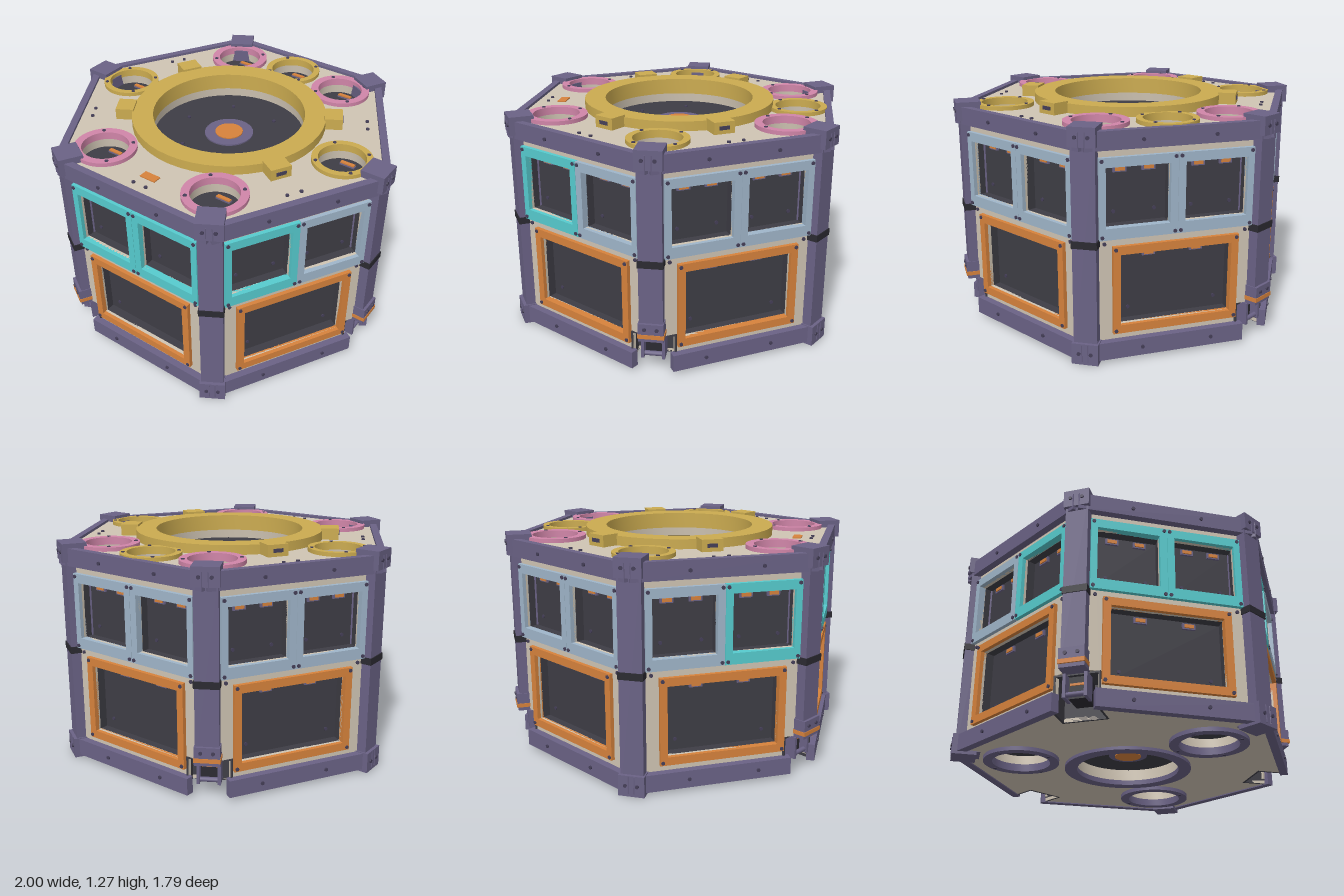
import * as THREE from 'three';
import { toCreasedNormals } from 'three/addons/utils/BufferGeometryUtils.js';

const mat = (name, color, side = THREE.FrontSide) => {
  const m = new THREE.MeshStandardMaterial({ color, side });
  m.name = name;
  return m;
};

export function createModel() {
  const M = {
    purple: mat('purple frame', 0x6a6285), beige: mat('beige hull', 0xcfc4b3, THREE.DoubleSide),
    gold: mat('gold', 0xcbab50), pink: mat('pink', 0xd085a8), cyan: mat('cyan', 0x56cbce),
    blue: mat('pale blue', 0x9fb5c9), orange: mat('orange', 0xd6823c),
    dark: mat('dark panel', 0x3e3d45, THREE.DoubleSide), black: mat('black', 0x2b2a31), bolt: mat('bolt', 0x453f58),
  };
  const root = new THREE.Group();
  root.name = 'hexagonalModule';
  const STEP = Math.PI / 3, T30 = Math.tan(Math.PI / 6);

  const add = (parent, name, geo, material, x = 0, y = 0, z = 0) => {
    const m = new THREE.Mesh(geo, material);
    m.name = name;
    m.position.set(x, y, z);
    parent.add(m);
    return m;
  };
  const group = (parent, name, angle = 0) => {
    const g = new THREE.Group();
    g.name = name;
    g.rotation.y = angle;
    parent.add(g);
    return g;
  };
  // box given by its min and max on each axis
  const box = (p, name, m, x0, x1, y0, y1, z0, z1) =>
    add(p, name, new THREE.BoxGeometry(x1 - x0, y1 - y0, z1 - z0), m, (x0 + x1) / 2, (y0 + y1) / 2, (z0 + z1) / 2);
  const boltGeo = new THREE.CylinderGeometry(0.01, 0.01, 0.012, 8);
  const bolt = (p, x, y, z, up = false) => {
    const b = add(p, 'bolt', boltGeo, M.bolt, x, y, z);
    if (!up) b.rotation.x = Math.PI / 2;
  };
  const poly = pts => new THREE.Shape(pts.map(p => new THREE.Vector2(...p)));
  const rect = (x0, x1, y0, y1) => [[x0, y0], [x1, y0], [x1, y1], [x0, y1]];
  const extrude = (shape, depth) => new THREE.ExtrudeGeometry(shape, { depth, bevelEnabled: false, curveSegments: 32 });
  const isCut = k => (k + 6) % 2 === 1;   // every second corner has a leg bay

  // Recessed window with a raised frame and handles
  const windowUnit = (p, name, m, o, i, handles) => {
    const g = group(p, name);
    const s = poly(rect(...o));
    s.holes.push(poly(rect(...i)));
    add(g, 'frame', extrude(s, 0.04), m, 0, 0, 0.812);
    const [x0, x1, y0, y1] = i, zb = 0.765, zf = 0.815;
    box(g, 'pane', M.dark, x0, x1, y0, y1, zb - 0.01, zb);
    box(g, 'pocketLeft', M.dark, x0 - 0.01, x0, y0, y1, zb, zf);
    box(g, 'pocketRight', M.dark, x1, x1 + 0.01, y0, y1, zb, zf);
    box(g, 'pocketBottom', M.dark, x0, x1, y0 - 0.01, y0, zb, zf);
    box(g, 'pocketTop', M.dark, x0, x1, y1, y1 + 0.01, zb, zf);
    for (const hx of handles) {
      box(g, 'handleMount', M.purple, hx - 0.035, hx + 0.035, y1 - 0.045, y1 - 0.012, zb, zb + 0.012);
      box(g, 'handle', M.orange, hx - 0.025, hx + 0.025, y1 - 0.038, y1 - 0.019, zb, zb + 0.018);
    }
    for (const x of [x0 + 0.06, x1 - 0.06]) bolt(g, x, y0 + 0.06, zb);
    for (const x of [o[0] + 0.014, o[1] - 0.014])
      for (const y of [o[2] + 0.016, o[3] - 0.016]) bolt(g, x, y, 0.852);
  };

  // Six walls: panel, rails and windows
  for (let k = 0; k < 6; k++) {
    const g = group(root, 'wall', k * STEP);
    const w = 0.83 * T30, c = w - 0.127;
    const cl = isCut(k - 1), cr = isCut(k);
    const pts = [[cl ? -c : -w, 0.05], [cr ? c : w, 0.05]];
    if (cr) pts.push([c, 0.215], [w, 0.215]);
    pts.push([w, 1.18], [-w, 1.18]);
    if (cl) pts.push([-w, 0.215], [-c, 0.215]);
    const s = poly(pts), big = [-0.3, 0.3, 0.19, 0.575];
    const wins = [[-0.375, -0.04, 0.72, 1.03], [0.04, 0.375, 0.72, 1.03]];
    for (const h of [big, ...wins]) s.holes.push(poly(rect(...h)));
    add(g, 'wallPanel', extrude(s, 0.02), M.beige, 0, 0, 0.81);

    windowUnit(g, 'lowerWindow', M.orange, [-0.34, 0.34, 0.145, 0.62], big, [-0.13, 0.13]);
    wins.forEach((r, i) => {
      const front = k === 0 || (k === 1 && i === 0) || (k === 5 && i === 1);
      const mid = i ? 0.208 : -0.208;
      windowUnit(g, 'upperWindow', front ? M.cyan : M.blue, i ? [0.001, 0.41, 0.66, 1.08] : [-0.41, -0.001, 0.66, 1.08],
        r, [mid - 0.075, mid + 0.075]);
    });

    box(g, 'topRail', M.purple, -0.485, 0.485, 1.12, 1.215, 0.83, 0.87);
    box(g, 'bottomRail', M.purple, cl ? -0.375 : -0.485, cr ? 0.375 : 0.485, 0.015, 0.11, 0.825, 0.87);
    for (const x of [-0.19, 0.19]) {
      bolt(g, x, 1.165, 0.872);
      bolt(g, x, 0.063, 0.872);
      bolt(g, x * 2, 0.635, 0.832);
    }
    if (k !== 3) for (const x of [-0.04, 0.04]) bolt(g, x, 1.202, 0.77, true);
  }

  // Corner posts, with leg bays on every second one
  for (let k = 0; k < 6; k++) {
    const g = group(root, 'cornerPost', STEP * (k + 0.5)), cut = isCut(k);
    box(g, 'post', M.purple, -0.062, 0.062, cut ? 0.215 : 0.02, 1.2, 0.84, 0.975);
    box(g, 'postCap', M.purple, -0.07, 0.07, 1.14, 1.24, 0.86, 0.993);
    box(g, 'postBand', M.black, -0.067, 0.067, 0.625, 0.663, 0.85, 0.98);
    for (const x of [-0.032, 0.032]) bolt(g, x, 1.19, 0.994);
    if (!cut) {
      box(g, 'postFoot', M.purple, -0.07, 0.07, 0, 0.115, 0.86, 0.993);
      for (const x of [-0.032, 0.032]) bolt(g, x, 0.06, 0.994);
      continue;
    }
    box(g, 'bracketPlate', M.purple, -0.067, 0.067, 0.255, 0.315, 0.86, 0.99);
    box(g, 'bracketStripe', M.orange, -0.07, 0.07, 0.232, 0.255, 0.86, 0.993);
    box(g, 'bracketBase', M.purple, -0.067, 0.067, 0.212, 0.232, 0.86, 0.985);
    for (const x of [-0.032, 0.032]) bolt(g, x, 0.285, 0.991);
    box(g, 'bayBack', M.dark, -0.12, 0.12, 0.02, 0.215, 0.75, 0.76);
    box(g, 'bayTop', M.dark, -0.12, 0.12, 0.205, 0.215, 0.75, 0.9);
    for (const s of [-1, 1]) {
      const wall = box(g, 'bayWall', M.dark, -0.005, 0.005, 0.02, 0.215, 0.76, 0.9);
      wall.position.x = s * 0.115;
      const cheek = box(g, 'legCheek', M.purple, -0.008, 0.008, 0.08, 0.205, 0.85, 0.93);
      cheek.position.x = s * 0.055;
    }
    box(g, 'legBlock', M.black, -0.047, 0.047, 0.09, 0.205, 0.76, 0.88);
    box(g, 'legStripe', M.orange, -0.04, 0.04, 0.158, 0.17, 0.88, 0.885);
    const bar = add(g, 'legBar', new THREE.CylinderGeometry(0.013, 0.013, 0.11, 12), M.purple, 0, 0.1, 0.91);
    bar.rotation.z = Math.PI / 2;
  }

  // Round hatch along local +y: raised ring, recessed well and disc
  const lathe = (pts, n) => toCreasedNormals(new THREE.LatheGeometry(pts.map(p => new THREE.Vector2(...p)), n), 0.6);
  const hatch = (p, name, m, ro, ri, h, lip, depth) => {
    const g = group(p, name);
    add(g, 'ring', lathe([[ro, -0.005], [ro, h], [ri, h], [ri, -lip]], 48), m);
    add(g, 'well', lathe([[ri, -lip], [ri + 0.004, -depth]], 48), M.beige);
    add(g, 'disc', new THREE.CylinderGeometry(ri + 0.003, ri + 0.003, 0.01, 48), M.dark, 0, -depth, 0);
    return g;
  };
  const disc = (p, name, r, m, y) => add(p, name, new THREE.CylinderGeometry(r, r, 0.012, 40), m, 0, y, 0);
  const smallHatch = (p, name, m, ro, ri) => {
    const g = hatch(p, name, m, ro, ri, 0.022, 0.02, 0.075);
    box(g, 'handleMount', M.purple, -0.043, 0.043, -0.07, -0.062, -0.086, -0.06);
    box(g, 'handle', M.orange, -0.04, 0.04, -0.062, -0.054, -0.083, -0.063);
    for (const x of [-0.065, 0.065]) bolt(g, x, -0.068, 0.06, true);
    for (let i = 0; i < 4; i++) {
      const a = Math.PI * (i + 0.5) / 2, r = (ro + ri) / 2;
      bolt(g, r * Math.cos(a), 0.02, r * Math.sin(a), true);
    }
    return g;
  };

  // Plate lying flat, given as a shape in x and -z
  const plate = (name, shape, y) => {
    add(root, name, extrude(shape, 0.02), M.beige, 0, y, 0).rotation.x = -Math.PI / 2;
  };
  const hole = (shape, x, z, r) => {
    const c = new THREE.Path();
    c.absarc(x, -z, r, 0, Math.PI * 2, true);
    shape.holes.push(c);
  };
  const polar = (r, a, side = 0) => [r * Math.sin(a) + side * Math.cos(a), r * Math.cos(a) - side * Math.sin(a)];
  const R = 0.835 / Math.cos(Math.PI / 6);

  // Top deck and its hatches
  const deck = poly([0, 1, 2, 3, 4, 5].map(k => polar(R, STEP * (k + 0.5))).map(([x, z]) => [x, -z]));
  const tops = [[0.72, 0, 'gold'], [-0.72, 0, 'gold'], [0, -0.68, 'gold']];
  for (const x of [-0.36, 0.36]) for (const z of [-0.625, 0.625]) tops.push([x, z, 'pink']);
  hole(deck, 0, 0, 0.43);
  for (const [x, z, c] of tops) {
    hole(deck, x, z, 0.13);
    smallHatch(root, c + 'Hatch', M[c], c === 'pink' ? 0.17 : 0.162, 0.127).position.set(x, 1.2, z);
  }
  plate('topDeck', deck, 1.18);
  box(root, 'deckMarker', M.orange, -0.047, 0.047, 1.198, 1.206, 0.665, 0.713);

  // Large central hatch with four clamps
  const main = hatch(root, 'mainHatch', M.gold, 0.54, 0.423, 0.052, 0.04, 0.095);
  main.position.y = 1.2;
  disc(main, 'hubPlate', 0.137, M.purple, -0.088);
  disc(main, 'hub', 0.078, M.orange, -0.082);
  for (let i = 0; i < 6; i++) bolt(main, 0.285 * Math.cos(i * STEP), -0.088, 0.285 * Math.sin(i * STEP), true);
  for (const a of [1, 2, 4, 5]) {
    const g = group(main, 'clamp', a * STEP);
    box(g, 'clampBlock', M.gold, -0.058, 0.058, 0, 0.064, 0.53, 0.63);
    box(g, 'clampSlot', M.bolt, -0.028, 0.028, 0.022, 0.042, 0.628, 0.634);
  }

  // Floor with leg-bay cut-outs and lower hatches
  const floorPts = [];
  for (let k = 0; k < 6; k++) {
    const a = STEP * (k + 0.5), e = R - 0.11 * T30;
    if (isCut(k)) floorPts.push(polar(e, a, -0.11), polar(0.76, a, -0.11), polar(0.76, a, 0.11), polar(e, a, 0.11));
    else floorPts.push(polar(R, a));
  }
  const floor = poly(floorPts.map(([x, z]) => [x, -z]));
  hole(floor, 0, 0, 0.295);
  const lower = hatch(root, 'floorMainHatch', M.purple, 0.36, 0.29, 0.018, 0.01, 0.08);
  lower.position.y = 0.022;
  lower.rotation.x = Math.PI;
  disc(lower, 'hubPlate', 0.11, M.purple, -0.073);
  disc(lower, 'hub', 0.075, M.orange, -0.067);
  for (const k of [0, 2, 4]) {
    const [x, z] = polar(0.61, STEP * (k + 0.5));
    hole(floor, x, z, 0.163);
    const h = smallHatch(root, 'floorHatch', M.purple, 0.21, 0.16);
    h.position.set(x, 0.022, z);
    h.rotation.x = Math.PI;
  }
  plate('floor', floor, 0.022);

  return root;
}
